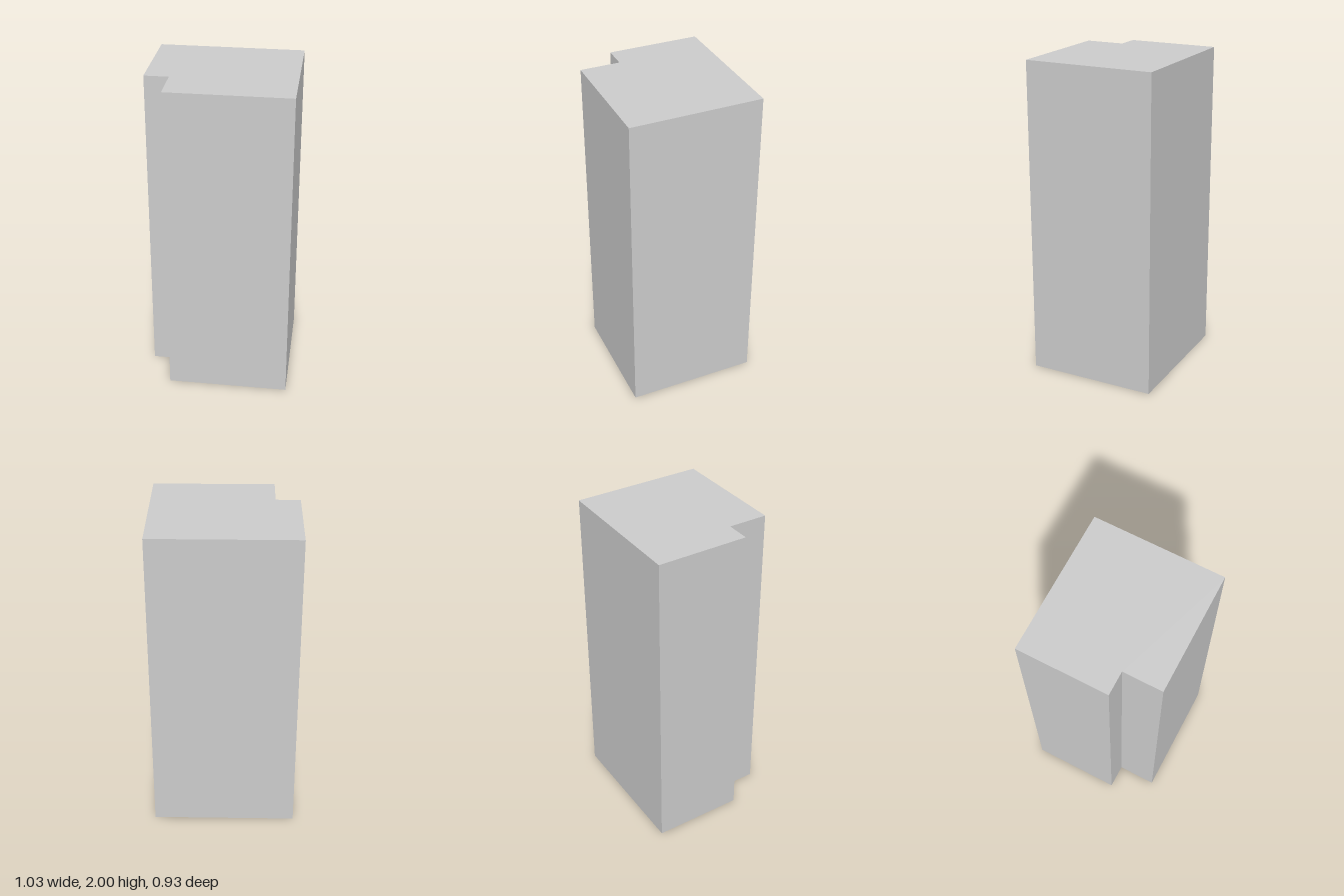
import * as THREE from 'three';

const HEIGHT = 2;

// Floor plan corners as [x, z], clockwise from above
const PLAN = [
  [-0.516, -0.31], [0.37, -0.467], [0.515, 0.333],
  [-0.225, 0.465], [-0.268, 0.223], [-0.416, 0.249],
];

export function createModel() {
  const group = new THREE.Group();
  group.name = 'towerBlock';
  const material = new THREE.MeshStandardMaterial({
    color: 0xcccccc, flatShading: true, side: THREE.DoubleSide,
  });

  // One flat wall per plan edge, facing outward; the base stays open
  const walls = new THREE.Group();
  walls.name = 'walls';
  PLAN.forEach(([x0, z0], i) => {
    const [x1, z1] = PLAN[(i + 1) % PLAN.length];
    const dx = x1 - x0, dz = z1 - z0;
    const wall = new THREE.Mesh(new THREE.PlaneGeometry(Math.hypot(dx, dz), HEIGHT), material);
    wall.name = `wall${i + 1}`;
    wall.position.set((x0 + x1) / 2, HEIGHT / 2, (z0 + z1) / 2);
    wall.rotation.y = Math.atan2(dz, -dx);
    walls.add(wall);
  });
  group.add(walls);

  // Flat roof with the notched corner
  const outline = new THREE.Shape(PLAN.map(([x, z]) => new THREE.Vector2(x, -z)));
  const roof = new THREE.Mesh(new THREE.ShapeGeometry(outline), material);
  roof.name = 'roof';
  roof.rotation.x = -Math.PI / 2;
  roof.position.y = HEIGHT;
  group.add(roof);

  return group;
}
